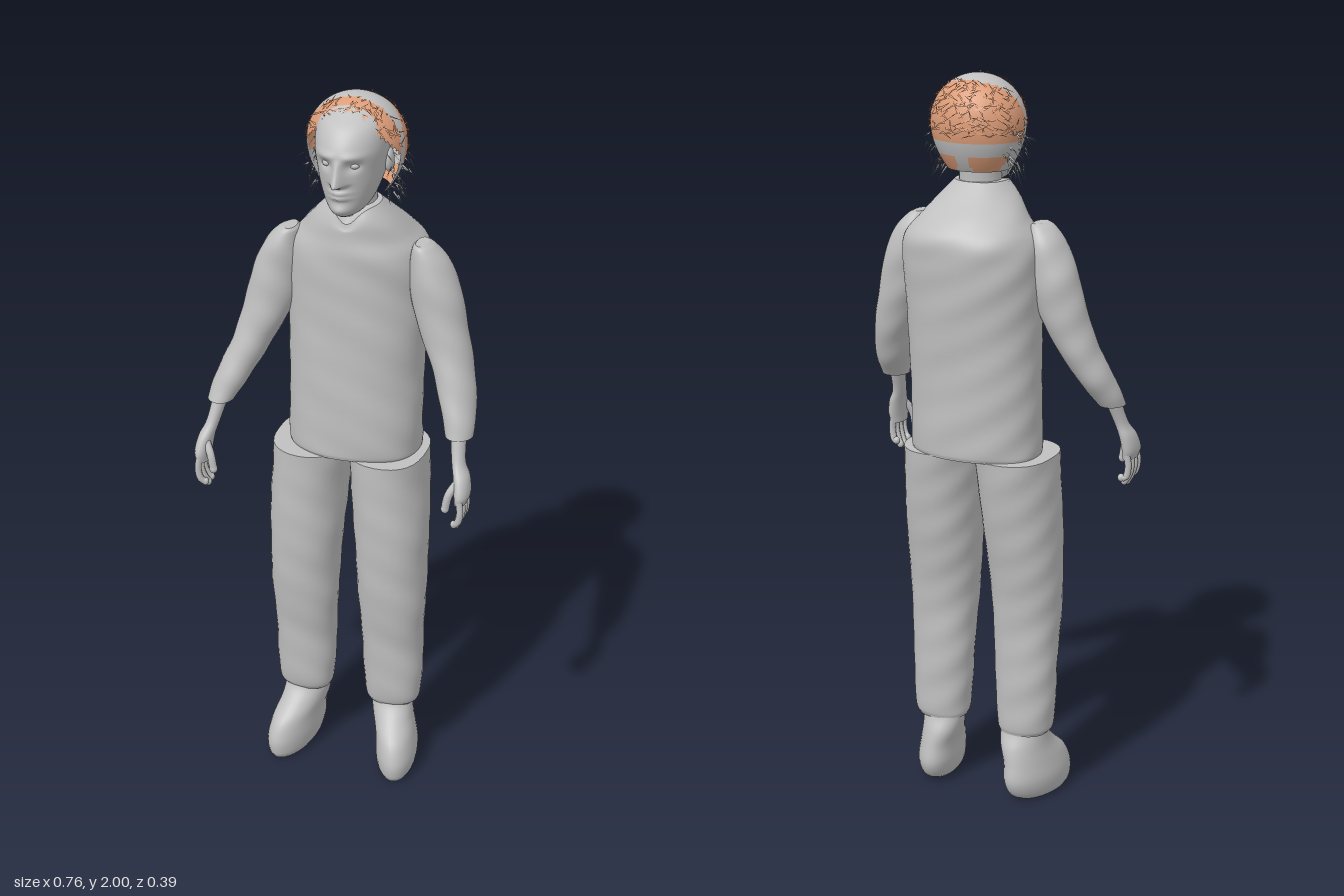
import * as THREE from 'three';

const grey = new THREE.MeshStandardMaterial({ color: 0xc0c0c0, side: THREE.DoubleSide });
grey.name = 'plain grey';
const copper = new THREE.MeshStandardMaterial({ color: 0xdc9c78, side: THREE.DoubleSide });
copper.name = 'copper hair';

let seed = 7;
const rand = () => (seed = (seed * 16807) % 2147483647) / 2147483647;
const bell = (v, c, w) => Math.exp(-(((v - c) / w) ** 2));

function mesh(name, geo, mat = grey) {
  const m = new THREE.Mesh(geo, mat);
  m.name = name;
  return m;
}

// Smooth skin through horizontal rings [y, x, z, rx, rz], listed bottom to top
function loft(name, rings, { seg = 32, steps = 40, power = 2, rule } = {}) {
  const centre = new THREE.CatmullRomCurve3(rings.map(r => new THREE.Vector3(r[1], r[0], r[2])), false, 'catmullrom');
  const size = new THREE.CatmullRomCurve3(rings.map(r => new THREE.Vector3(r[3], 0, r[4])), false, 'catmullrom');
  const pos = [], idx = [];
  const bend = v => Math.sign(v) * Math.abs(v) ** (2 / power);
  for (let i = 0; i <= steps; i++) {
    const c = centre.getPoint(i / steps), r = size.getPoint(i / steps);
    for (let j = 0; j < seg; j++) {
      const a = (j / seg) * Math.PI * 2;
      const p = new THREE.Vector3(c.x + r.x * bend(Math.cos(a)), c.y, c.z + r.z * bend(Math.sin(a)));
      if (rule) rule(p, a);
      pos.push(p.x, p.y, p.z);
    }
  }
  for (let i = 0; i < steps; i++) for (let j = 0; j < seg; j++) {
    const a = i * seg + j, c = i * seg + (j + 1) % seg;
    idx.push(a, a + seg, c, c, a + seg, c + seg);
  }
  // end caps with their own corners, so the rims stay sharp
  for (const [row, top] of [[0, false], [steps, true]]) {
    const base = pos.length / 3, mid = centre.getPoint(row / steps);
    pos.push(...pos.slice(row * seg * 3, (row + 1) * seg * 3), mid.x, mid.y, mid.z);
    for (let j = 0; j < seg; j++) {
      const p = base + j, q = base + (j + 1) % seg;
      idx.push(base + seg, top ? q : p, top ? p : q);
    }
  }
  return mesh(name, surface(pos, idx));
}

function surface(pos, idx) {
  const g = new THREE.BufferGeometry();
  g.setAttribute('position', new THREE.Float32BufferAttribute(pos, 3));
  if (idx) g.setIndex(idx);
  g.computeVertexNormals();
  return g;
}

const tube = (name, pts, r) => mesh(name, new THREE.TubeGeometry(
  new THREE.CatmullRomCurve3(pts.map(p => new THREE.Vector3(...p))), 10, r, 8));

const ball = (name, x, y, z, sx, sy, sz) => {
  const m = mesh(name, new THREE.SphereGeometry(1, 16, 12));
  m.position.set(x, y, z);
  m.scale.set(sx, sy, sz);
  return m;
};

// gentle creases in the cloth
const creases = p => {
  const w = 0.0025 * Math.sin(p.y * 41 + p.x * 23) * Math.sin(p.y * 17 - p.z * 31);
  p.x += w; p.z += w;
};

const HX = 0.02; // head centre line

function makeHead() {
  const g = new THREE.Group();
  g.name = 'head';
  // [y, front, back, half width]
  const rows = [[1.708, .12, .02, .022], [1.72, .135, -.005, .042], [1.745, .142, -.035, .06], [1.79, .147, -.065, .077],
    [1.83, .152, -.09, .086], [1.88, .158, -.1, .092], [1.93, .13, -.09, .09], [1.96, .09, -.07, .075], [1.982, .05, -.035, .045], [1.988, .02, -.01, .01]];
  const face = p => {
    const dx = p.x - HX, side = Math.abs(dx);
    if (p.z < 0.06) return;
    const ramp = THREE.MathUtils.clamp((1.872 - p.y) / 0.062, 0, 1) * THREE.MathUtils.clamp((p.y - 1.792) / 0.014, 0, 1);
    p.z += 0.04 * ramp * bell(dx, 0, 0.010 + 0.007 * ramp)                    // nose
      - 0.014 * bell(side, 0.035, 0.018) * bell(p.y, 1.852, 0.013)             // eye sockets
      + 0.006 * bell(side, 0.035, 0.025) * bell(p.y, 1.877, 0.009)             // brows
      + 0.011 * bell(dx, 0, 0.024) * (bell(p.y, 1.781, 0.006) + bell(p.y, 1.767, 0.006)) // lips
      + 0.010 * bell(dx, 0, 0.025) * bell(p.y, 1.732, 0.014);                  // chin
  };
  g.add(loft('face', rows.map(([y, f, b, w]) => [y, HX, (f + b) / 2, w, (f - b) / 2]), { seg: 96, steps: 90, rule: face }));
  g.add(loft('neck', [[1.62, HX, 0, .07, .06], [1.7, HX, .012, .056, .058], [1.8, HX, .01, .055, .062]], { steps: 12 }));
  for (const s of [-1, 1]) {
    g.add(ball('eye', HX + s * 0.035, 1.852, 0.128, 0.013, 0.009, 0.012));
    g.add(ball('ear', HX + s * 0.09, 1.835, 0.02, 0.012, 0.032, 0.02));
  }
  return g;
}

// point on the hair shell: u around, v from crown (0) to nape (1)
function hairPoint(u, v, out = 0) {
  const a = u * Math.PI * 2;
  let k, y;
  if (v < 0.5) { k = Math.sin(v * Math.PI); y = 1.87 + (0.124 + out) * Math.cos(v * Math.PI); }
  else { const t = (v - 0.5) * 2; k = 1 - 0.35 * t * t; y = 1.87 - 0.12 * t; }
  return new THREE.Vector3(HX + k * (0.128 + out) * Math.cos(a), y, 0.003 + k * (0.114 + out) * Math.sin(a));
}

function hairZone(p) {
  const dx = (p.x - HX) / 0.13;
  if (p.z > 0.03) return p.y > 1.85 + 0.085 * THREE.MathUtils.clamp((p.z - 0.03) / 0.07, 0, 1) ? 'copper' : 'none';
  if (p.z < 0.02 - 0.07 * (1 - dx * dx) && p.y > 1.83) return 'copper';
  if (p.y < 1.795 && p.z < -0.03 && Math.abs(dx) > 0.15) return 'copper';
  return 'grey';
}

function makeHair() {
  const g = new THREE.Group();
  g.name = 'hair';
  const nu = 72, nv = 40, pos = [], cells = { copper: [], grey: [], none: [] };
  for (let i = 0; i <= nv; i++) for (let j = 0; j <= nu; j++) pos.push(...hairPoint(j / nu, i / nv).toArray());
  for (let i = 0; i < nv; i++) for (let j = 0; j < nu; j++) {
    const a = i * (nu + 1) + j, b = a + nu + 1;
    cells[hairZone(hairPoint((j + 0.5) / nu, (i + 0.5) / nv))].push(a, a + 1, b, b, a + 1, b + 1);
  }
  g.add(mesh('hairCap', surface(pos, cells.copper), copper), mesh('hairBand', surface(pos, cells.grey)));

  // loose flat strands following the shell
  const strands = { copper: [], grey: [] };
  for (let n = 0; n < 420; n++) {
    const u = rand(), v = 0.08 + 0.5 * rand(), du = (rand() - 0.5) * 0.12, dv = (rand() - 0.5) * 0.16;
    const a = hairPoint(u, v, 0.003), b = hairPoint(u + du, v + dv, 0.008);
    if (hairZone(a) === 'copper' && hairZone(b) === 'copper') addStrand(strands.copper, a, b);
  }
  // shaggy locks beside the ears
  for (const s of [-1, 1]) for (let n = 0; n < 70; n++) {
    const y = 1.74 + 0.13 * rand(), z = -0.05 + 0.09 * rand();
    const x = HX + s * (0.085 + 0.045 * rand());
    addStrand(strands.grey, new THREE.Vector3(x, y, z),
      new THREE.Vector3(x + s * (rand() - 0.3) * 0.04, y - 0.01 - 0.03 * rand(), z + (rand() - 0.5) * 0.05));
  }
  g.add(mesh('looseStrands', surface(strands.copper), copper), mesh('sideLocks', surface(strands.grey)));
  return g;
}

function addStrand(list, a, b) {
  const out = a.clone().sub(new THREE.Vector3(HX, 1.85, 0));
  const w = b.clone().sub(a).cross(out).normalize().multiplyScalar(0.003);
  list.push(...a.clone().add(w).toArray(), ...a.clone().sub(w).toArray(), ...b.toArray());
}

function makeArm(s) {
  const g = new THREE.Group();
  g.name = s > 0 ? 'leftArm' : 'rightArm';
  const shift = y => 0.02 * THREE.MathUtils.clamp((y - 1.12) / 0.2, 0, 1);
  const place = ([y, x, z, rx, rz]) => [y, s * x + shift(y), z, rx, rz];
  g.add(loft('sleeve', [[1.135, .329, .098, .036, .042], [1.2, .31, .066, .047, .056], [1.3, .273, .033, .056, .062],
    [1.4, .237, .015, .066, .064], [1.5, .213, .008, .066, .066], [1.57, .197, .008, .05, .06],
    [1.61, .182, .012, .03, .045], [1.622, .176, .013, .016, .032]].map(place), { rule: creases }));
  g.add(loft('hand', [[.975, .357, .158, .016, .036], [1.0, .36, .157, .021, .042], [1.04, .354, .146, .021, .036],
    [1.08, .34, .13, .018, .024], [1.16, .326, .1, .022, .026]].map(place), { seg: 20, steps: 24 }));
  for (let i = 0; i < 4; i++) {
    const z = 0.19 - i * 0.021, tip = 0.905 + [0.012, 0, 0.004, 0.02][i];
    g.add(tube('finger', [[s * .36, .99, z], [s * .364, .955, z + .002], [s * .357, .925, z], [s * .347, tip, z - .005]], 0.0095));
    g.add(ball('fingertip', s * .347, tip, z - .005, .0095, .011, .0095));
  }
  g.add(tube('thumb', [[s * .35, 1.035, .165], [s * .33, 1.0, .182], [s * .322, .96, .185]], 0.011));
  g.add(ball('thumbTip', s * .322, .96, .185, .011, .013, .011));
  return g;
}

function makeLeg(s) {
  const g = new THREE.Group();
  g.name = s > 0 ? 'leftLeg' : 'rightLeg';
  const place = ([y, x, z, rx, rz]) => [y, s * x, z, rx, rz];
  g.add(loft('trouserLeg', [[.195, .127, -.008, .068, .06], [.23, .13, -.005, .08, .068], [.4, .128, 0, .087, .076],
    [.6, .126, .008, .096, .094], [.8, .119, -.005, .103, .117], [1.0, .107, -.017, .105, .132]].map(place), { power: 2.2, rule: creases }));
  // boot, with the toe turned outward
  g.add(loft('boot', [[.0, .148, .045, .046, .095], [.02, .148, .035, .057, .115], [.06, .147, .027, .062, .125],
    [.11, .142, .02, .059, .112], [.155, .132, .002, .06, .085], [.2, .127, -.006, .062, .058], [.25, .128, -.005, .06, .055]].map(place),
  { rule: p => { p.x += s * p.z * 0.17; } }));
  return g;
}

export function createModel() {
  const model = new THREE.Group();
  model.name = 'standingFigure';
  // shirt body, with a collar that dips at the front
  model.add(loft('shirt', [[.998, .008, -.03, .18, .127], [1.03, .008, -.03, .182, .132], [1.2, .009, -.032, .181, .134],
    [1.4, .011, -.04, .184, .141], [1.52, .013, -.044, .188, .147], [1.585, .014, -.044, .178, .148], [1.63, .015, -.03, .145, .128],
    [1.675, .017, -.003, .11, .1], [1.72, .019, .02, .07, .068]],
  { seg: 48, steps: 60, power: 2.2, rule: p => {
    creases(p);
    if (p.z > 0.03) p.y -= 0.045 * bell(p.x, HX, 0.035) * THREE.MathUtils.smoothstep(p.y, 1.64, 1.72);
  } }));
  for (const s of [-1, 1]) model.add(makeArm(s), makeLeg(s));
  model.add(makeHead(), makeHair());
  return model;
}
